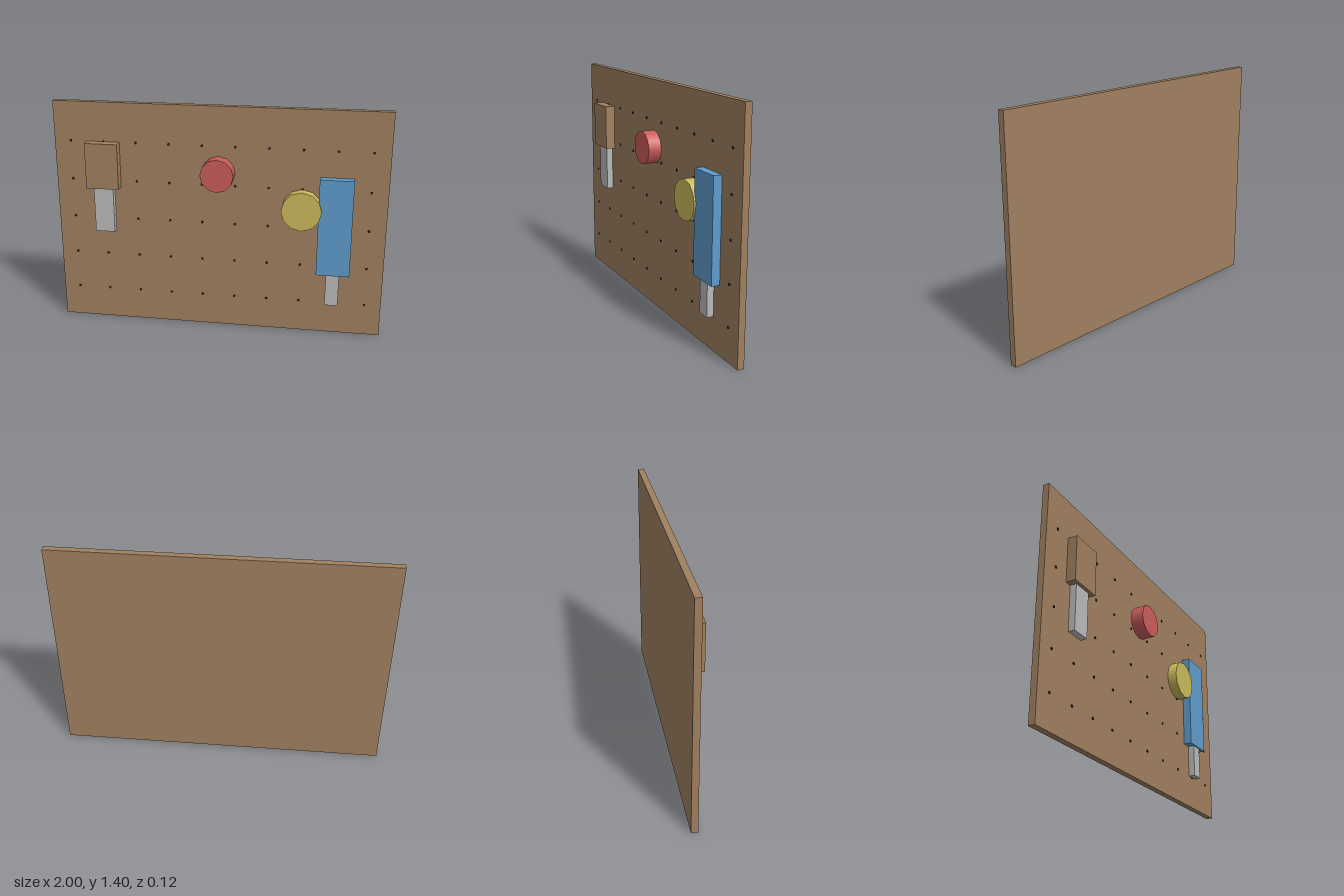
import * as THREE from 'three';

const FACE = -0.02; // z of the board's front surface

export function createModel() {
  const model = new THREE.Group();
  model.name = 'pegboard';

  const mat = (name, color) => {
    const m = new THREE.MeshStandardMaterial({ color });
    m.name = name;
    return m;
  };
  const wood = mat('wood', 0xa08060);
  const steel = mat('steel', 0xbbbbbb);
  const blue = mat('blue', 0x5f9ccc);
  const red = mat('red', 0xcc5c5c);
  const yellow = mat('yellow', 0xccbb5c);
  const dark = mat('hole black', 0x222222);

  const add = (name, geometry, material, parent = model) => {
    const mesh = new THREE.Mesh(geometry, material);
    mesh.name = name;
    parent.add(mesh);
    return mesh;
  };

  // Box given by its limits on each axis
  const slab = (name, material, x0, x1, y0, y1, z0, z1) =>
    add(name, new THREE.BoxGeometry(x1 - x0, y1 - y0, z1 - z0), material)
      .position.set((x0 + x1) / 2, (y0 + y1) / 2, (z0 + z1) / 2);

  // Round item lying against the board, axis along z
  const disc = (name, material, x, y, radius, front) => {
    const depth = front - FACE;
    const geometry = new THREE.CylinderGeometry(radius, radius, depth, 12).rotateX(Math.PI / 2);
    add(name, geometry, material).position.set(x, y, FACE + depth / 2);
  };

  slab('board', wood, -1, 1, 0, 1.4, -0.06, FACE);

  // Peg holes, 10 by 5
  const holes = new THREE.Group();
  holes.name = 'pegHoles';
  model.add(holes);
  const holeGeometry = new THREE.CylinderGeometry(0.008, 0.008, 0.008, 8).rotateX(Math.PI / 2);
  for (let row = 0; row < 5; row++) {
    for (let col = 0; col < 10; col++) {
      add('pegHole', holeGeometry, dark, holes)
        .position.set(-0.9 + col * 0.2, 0.2 + row * 0.24, FACE);
    }
  }

  // Wooden-handled tool
  slab('woodenHandle', wood, -0.8, -0.6, 0.88, 1.16, FACE, 0.04);
  slab('wideBlade', steel, -0.76, -0.64, 0.6, 0.88, FACE, 0.02);

  // Blue-handled tool
  slab('blueHandle', blue, 0.6, 0.8, 0.4, 1, FACE, 0.03);
  slab('narrowBlade', steel, 0.66, 0.74, 0.2, 0.4, FACE, 0.02);

  // Tape rolls
  disc('redRoll', red, 0, 1, 0.1, 0.06);
  disc('yellowRoll', yellow, 0.5, 0.8, 0.12, 0.04);

  return model;
}
